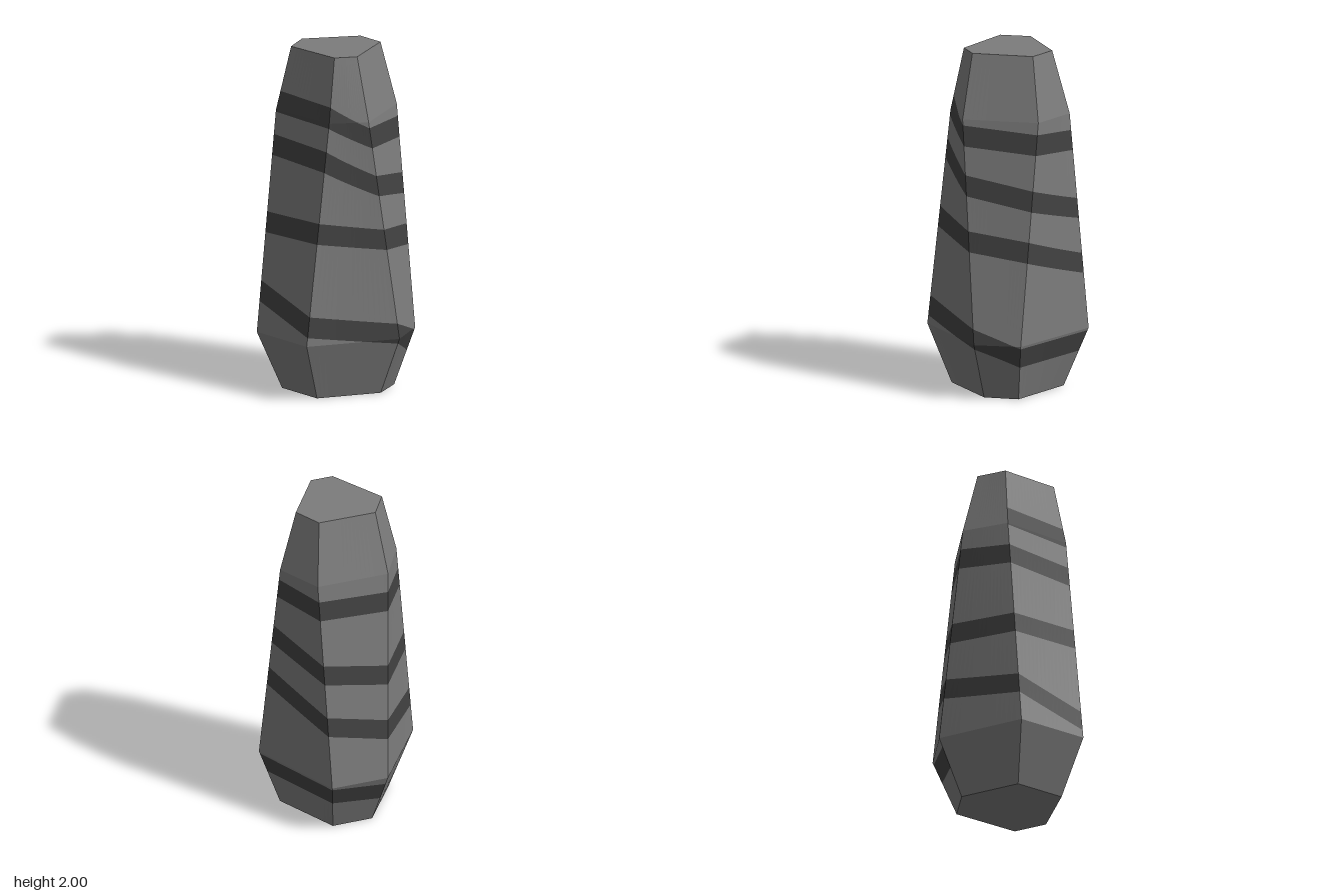
import * as THREE from 'three';

// Corner columns run counter-clockwise seen from above: back-left, front-left, front, front-right, back-right, back
const rings = [
  { y: 0, p: [[-0.26, -0.14], [-0.26, 0.165], [0.095, 0.31], [0.275, 0.22], [0.28, -0.185], [0.07, -0.3]] },
  { y: 0.34, p: [[-0.39, -0.21], [-0.39, 0.225], [0.125, 0.44], [0.36, 0.305], [0.39, -0.275], [0.095, -0.44]] },
  { y: 1.63, p: [[-0.25, -0.205], [-0.22, 0.225], [-0.03, 0.35], [0.36, 0.145], [0.36, -0.14], [-0.01, -0.35]] },
  { y: 2, p: [[-0.17, -0.165], [-0.15, 0.19], [-0.035, 0.255], [0.28, 0.095], [0.28, -0.08], [-0.015, -0.25]] },
];
const tierNames = ['base', 'shaft', 'shoulder'];

// Upper edge of the spiral stripe at each successive corner, from the top down
const spiral = [
  1.74, 1.72, 1.595, 1.56, 1.53, 1.515,
  1.49, 1.465, 1.31, 1.235, 1.12, 1.05,
  1.04, 1.05, 0.99, 0.94, 0.79, 0.705,
  0.64, 0.51, 0.43, 0.325, 0.325, 0.29,
];
const stripeWidth = 0.12;
const turns = 4;
const steps = 16;

const lerp = THREE.MathUtils.lerp;
const clamp = THREE.MathUtils.clamp;

// Point on the faceted side: tier, face, fraction across the face, height
function sidePoint(tier, face, t, y) {
  const a = rings[tier], b = rings[tier + 1];
  const v = (y - a.y) / (b.y - a.y);
  const next = (face + 1) % 6;
  const coord = (k) => lerp(
    lerp(a.p[face][k], b.p[face][k], v),
    lerp(a.p[next][k], b.p[next][k], v), t);
  return [coord(0), y, coord(1)];
}

// Heights where plain stone and stripe alternate, from the ground up
function levels(face, t) {
  const out = [0];
  for (let k = turns - 1; k >= 0; k--) {
    const i = k * 6 + face;
    if (i + 1 >= spiral.length) continue;
    const top = lerp(spiral[i], spiral[i + 1], t);
    out.push(top - stripeWidth, top);
  }
  out.push(2);
  return out;
}

function makeMesh(name, positions, material) {
  const geometry = new THREE.BufferGeometry();
  geometry.setAttribute('position', new THREE.Float32BufferAttribute(positions, 3));
  geometry.computeVertexNormals();
  const mesh = new THREE.Mesh(geometry, material);
  mesh.name = name;
  return mesh;
}

// Flat end cap on a ring
function cap(ring, up) {
  const out = [];
  for (let i = 1; i < 5; i++) {
    const tri = up ? [0, i, i + 1] : [0, i + 1, i];
    for (const j of tri) out.push(ring.p[j][0], ring.y, ring.p[j][1]);
  }
  return out;
}

export function createModel() {
  const group = new THREE.Group();
  group.name = 'stripedStone';
  const stone = new THREE.MeshStandardMaterial({ color: 0x7c7c7c });
  stone.name = 'stone grey';
  const dark = new THREE.MeshStandardMaterial({ color: 0x424242 });
  dark.name = 'stripe dark grey';

  // Sides: narrow columns split at the stripe edges and at the tier creases
  for (let tier = 0; tier < 3; tier++) {
    const y0 = rings[tier].y, y1 = rings[tier + 1].y;
    const plain = [], stripe = [];
    for (let face = 0; face < 6; face++) {
      for (let s = 0; s < steps; s++) {
        const t0 = s / steps, t1 = (s + 1) / steps;
        const left = levels(face, t0).map((y) => clamp(y, y0, y1));
        const right = levels(face, t1).map((y) => clamp(y, y0, y1));
        for (let i = 0; i + 1 < left.length; i++) {
          const target = i % 2 ? stripe : plain;
          const a = sidePoint(tier, face, t0, left[i]);
          const b = sidePoint(tier, face, t1, right[i]);
          const c = sidePoint(tier, face, t1, right[i + 1]);
          const d = sidePoint(tier, face, t0, left[i + 1]);
          if (right[i + 1] - right[i] > 1e-6) target.push(...a, ...b, ...c);
          if (left[i + 1] - left[i] > 1e-6) target.push(...a, ...c, ...d);
        }
      }
    }
    group.add(makeMesh(tierNames[tier], plain, stone));
    group.add(makeMesh(tierNames[tier] + 'Stripe', stripe, dark));
  }

  // Ends
  group.add(makeMesh('topCap', cap(rings[3], true), stone));
  group.add(makeMesh('bottomCap', cap(rings[0], false), stone));
  return group;
}
